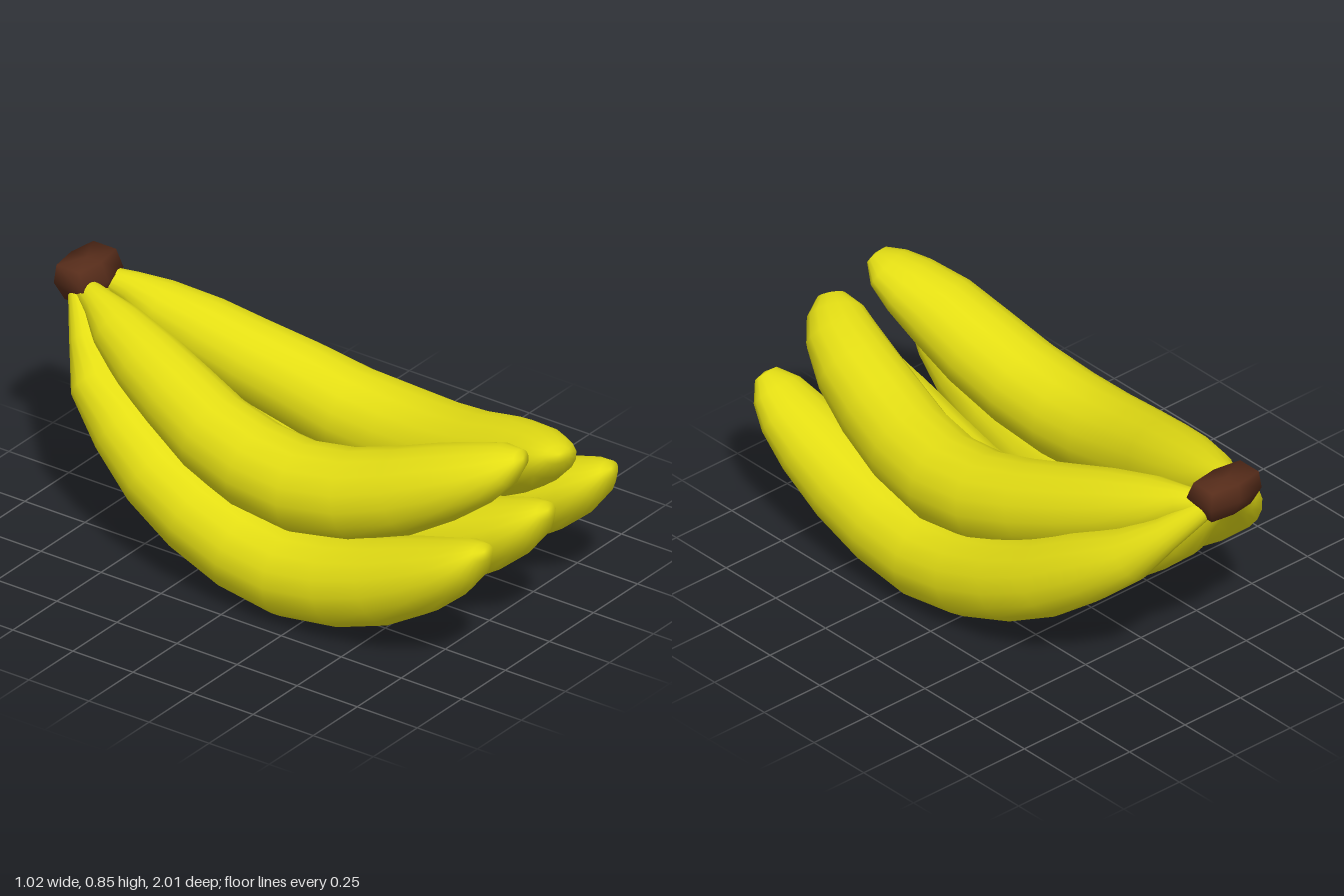
import * as THREE from 'three';

// Stations shared by every banana, from blunt tip (+z) to stem (-z)
const Z = [0.985, 0.935, 0.86, 0.735, 0.575, 0.385, 0.18, -0.02, -0.215, -0.395, -0.55, -0.71, -0.81, -0.91];
// Half height and half width of the section at each station
const HEIGHT = [0.03, 0.07, 0.1, 0.13, 0.15, 0.158, 0.16, 0.157, 0.15, 0.14, 0.125, 0.095, 0.06, 0.035];
const WIDTH = [0.05, 0.1, 0.127, 0.148, 0.158, 0.161, 0.162, 0.158, 0.15, 0.14, 0.128, 0.1, 0.06, 0.035];

// Centre-line heights and sideways positions
const LOW_Y = [0.495, 0.45, 0.395, 0.325, 0.25, 0.19, 0.16, 0.185, 0.25, 0.335, 0.435, 0.54, 0.64, 0.75];
const LOW_X = [0.36, 0.355, 0.355, 0.352, 0.35, 0.35, 0.347, 0.342, 0.335, 0.315, 0.28, 0.23, 0.16, 0.07];
const UP_RIGHT_Y = [0.755, 0.722, 0.68, 0.62, 0.545, 0.48, 0.45, 0.465, 0.51, 0.573, 0.63, 0.695, 0.742, 0.775];
const UP_RIGHT_X = [-0.14, -0.15, -0.175, -0.21, -0.237, -0.262, -0.278, -0.27, -0.245, -0.2, -0.16, -0.115, -0.085, -0.055];
const UP_LEFT_Y = [0.68, 0.645, 0.605, 0.55, 0.485, 0.44, 0.425, 0.443, 0.5, 0.56, 0.62, 0.685, 0.73, 0.76];
const UP_LEFT_X = [0.065, 0.09, 0.13, 0.17, 0.2, 0.24, 0.268, 0.26, 0.232, 0.19, 0.155, 0.115, 0.09, 0.06];

// Closed skin over rings that turn anticlockwise about the direction of travel
function skin(rings, startCap, endCap) {
  const n = rings[0].length;
  const points = [...rings.flat(), startCap, endCap];
  const first = points.length - 2, last = points.length - 1;
  const base = (rings.length - 1) * n;
  const index = [];
  for (let j = 0; j < n; j++) {
    const k = (j + 1) % n;
    for (let i = 0; i < rings.length - 1; i++) {
      const a = i * n + j, b = i * n + k, c = a + n, d = b + n;
      index.push(a, b, c, b, d, c);
    }
    index.push(first, k, j, last, base + j, base + k);
  }
  const geometry = new THREE.BufferGeometry().setFromPoints(points);
  geometry.setIndex(index);
  geometry.computeVertexNormals();
  return geometry;
}

// Tapered, curved fruit with 16-sided rings square to its centre line
function bananaGeometry(xs, ys) {
  const centres = Z.map((z, i) => new THREE.Vector3(xs[i], ys[i], z));
  const end = centres.length - 1;
  const rings = centres.map((c, i) => {
    const t = centres[Math.min(i + 1, end)].clone().sub(centres[Math.max(i - 1, 0)]).normalize();
    const side = new THREE.Vector3(0, 1, 0).cross(t).normalize();
    const up = t.clone().cross(side);
    return Array.from({ length: 16 }, (_, j) => {
      const a = (j / 16) * Math.PI * 2;
      return c.clone()
        .addScaledVector(side, Math.cos(a) * WIDTH[i])
        .addScaledVector(up, Math.sin(a) * HEIGHT[i]);
    });
  });
  const tip = centres[0].clone().add(new THREE.Vector3(0, 0.004, 0.008));
  return skin(rings, tip, centres[end]);
}

// Six-sided stem block with a bulging middle, built from the top down
function crownGeometry() {
  const hexagon = [[0, 1], [-1, 0.75], [-1, -0.75], [0, -1], [1, -0.75], [1, 0.75]];
  const levels = [
    { y: 0.848, z: -0.928, hx: 0.105, hz: 0.063 },
    { y: 0.783, z: -0.918, hx: 0.114, hz: 0.082 },
    { y: 0.718, z: -0.915, hx: 0.088, hz: 0.052 },
  ];
  const rings = levels.map((l) => hexagon.map(([x, z]) =>
    new THREE.Vector3(x * l.hx, l.y, l.z + z * l.hz)));
  const [top, , bottom] = levels;
  return skin(rings, new THREE.Vector3(0, top.y, top.z), new THREE.Vector3(0, bottom.y, bottom.z));
}

export function createModel() {
  const group = new THREE.Group();
  const peel = new THREE.MeshStandardMaterial({ color: 0xe4de14 });
  const bark = new THREE.MeshStandardMaterial({ color: 0x562c1a });

  const add = (name, geometry, material) => {
    const mesh = new THREE.Mesh(geometry, material);
    mesh.name = name;
    group.add(mesh);
  };

  // Lower row of three
  [['lowerRightBanana', -1], ['lowerMiddleBanana', 0], ['lowerLeftBanana', 1]].forEach(([name, side]) =>
    add(name, bananaGeometry(LOW_X.map((x) => x * side), LOW_Y), peel));

  // Upper pair
  add('upperRightBanana', bananaGeometry(UP_RIGHT_X, UP_RIGHT_Y), peel);
  add('upperLeftBanana', bananaGeometry(UP_LEFT_X, UP_LEFT_Y), peel);

  // Stem joining the bunch
  add('crown', crownGeometry(), bark);
  return group;
}
